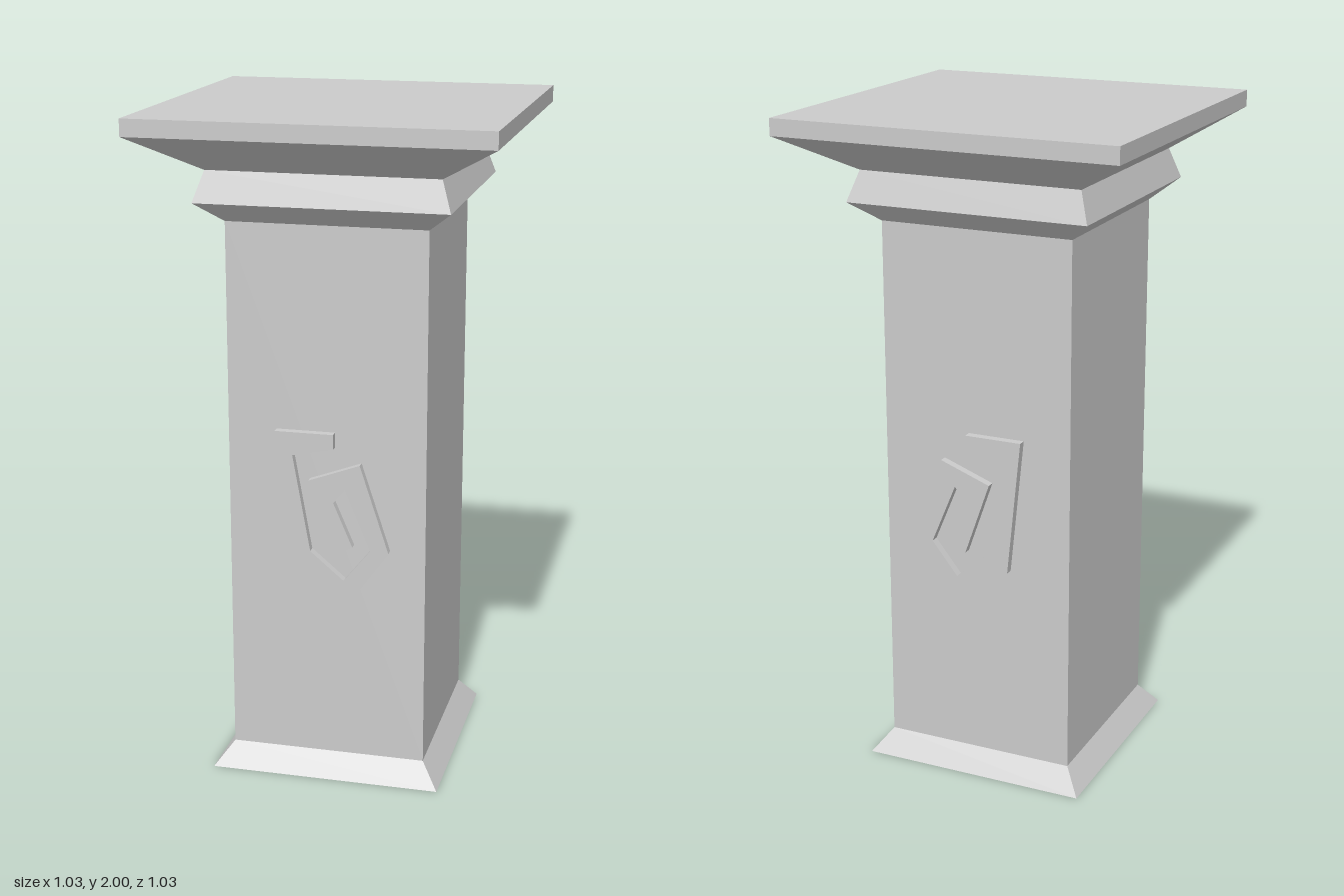
import * as THREE from 'three';

const material = new THREE.MeshStandardMaterial({ color: 0xcccccc, flatShading: true });

// Square section swept up a profile of [half width, height] points
function squareTurned(name, profile) {
  const points = profile.map(([half, y]) => new THREE.Vector2(half * Math.SQRT2, y));
  const mesh = new THREE.Mesh(new THREE.LatheGeometry(points, 4, Math.PI / 4), material);
  mesh.name = name;
  return mesh;
}

// Angular spiral band, raised on the front and back of the shaft
function spiralEmblem(name, zStart, depth) {
  const outline = [
    [0.025, 1.087], [-0.15, 1.087], [-0.108, 0.677], [0.073, 0.573],
    [0.19, 0.737], [0.104, 1.0], [-0.05, 0.943], [0.028, 0.72],
    [0.082, 0.747], [0.025, 0.88], [0.06, 0.923], [0.136, 0.74],
    [0.056, 0.64], [-0.045, 0.725], [-0.097, 1.017], [0.025, 1.042],
  ];
  const shape = new THREE.Shape(outline.map(([x, y]) => new THREE.Vector2(x, y)));
  const geometry = new THREE.ExtrudeGeometry(shape, { depth, bevelEnabled: false });
  const mesh = new THREE.Mesh(geometry, material);
  mesh.name = name;
  mesh.position.z = zStart;
  return mesh;
}

export function createModel() {
  const group = new THREE.Group();
  group.name = 'pedestal';

  group.add(
    squareTurned('base', [[0, 0], [0.348, 0], [0.295, 0.07]]),
    squareTurned('shaft', [[0.295, 0.07], [0.295, 1.69]]),
    squareTurned('collar', [[0.295, 1.69], [0.368, 1.75], [0.338, 1.84]]),
    squareTurned('capital', [[0.338, 1.84], [0.517, 1.95], [0.517, 2], [0, 2]]),
  );

  // Emblems sink slightly into the shaft
  const face = 0.32, inner = 0.28;
  group.add(
    spiralEmblem('frontEmblem', inner, face - inner),
    spiralEmblem('backEmblem', -face, face - inner),
  );
  return group;
}
